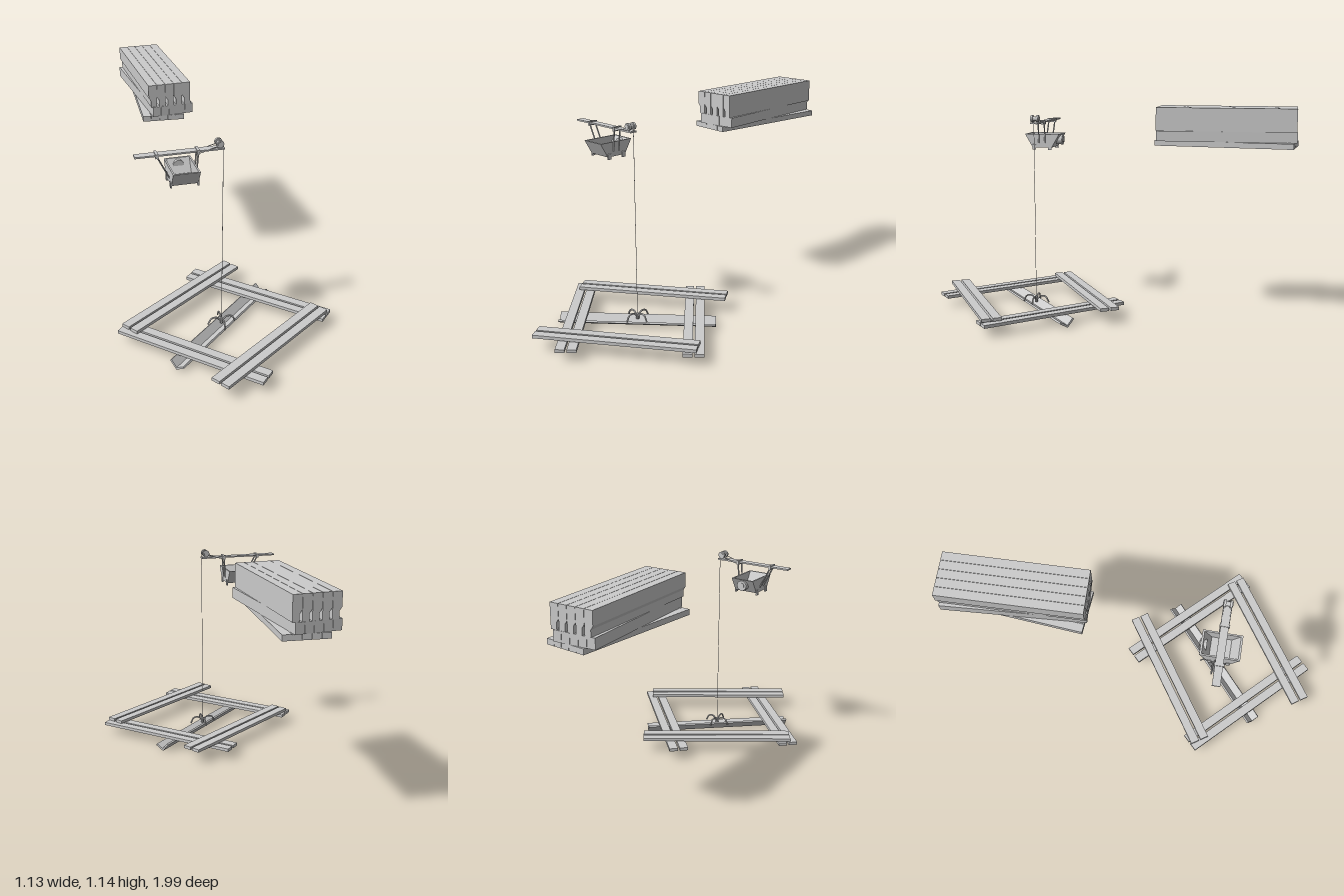
import * as THREE from 'three';

const mat = new THREE.MeshStandardMaterial({ color: 0xcccccc, flatShading: true });
const smooth = new THREE.MeshStandardMaterial({ color: 0xcccccc });
const V = (x, y, z) => new THREE.Vector3(x, y, z);

function add(parent, name, geometry, x = 0, y = 0, z = 0, ry = 0, material = mat) {
  const mesh = new THREE.Mesh(geometry, material);
  mesh.name = name;
  mesh.position.set(x, y, z);
  mesh.rotation.y = ry;
  parent.add(mesh);
  return mesh;
}

function group(parent, name) {
  const g = new THREE.Group();
  g.name = name;
  parent.add(g);
  return g;
}

// Closed outline extruded along z and centred on it
function prism(points, depth) {
  const shape = new THREE.Shape(points.map(([x, y]) => new THREE.Vector2(x, y)));
  return new THREE.ExtrudeGeometry(shape, { depth, bevelEnabled: false }).translate(0, 0, -depth / 2);
}

// Straight round bar between two points
function bar(parent, name, a, b, r, sides = 6) {
  const d = b.clone().sub(a);
  const m = add(parent, name, new THREE.CylinderGeometry(r, r, d.length(), sides));
  m.position.copy(a).addScaledVector(d, 0.5);
  m.quaternion.setFromUnitVectors(V(0, 1, 0), d.normalize());
}

export function createModel() {
  const model = new THREE.Group();
  model.name = 'plankHoist';

  // Frame of paired planks: two lower pairs crossed by two upper pairs
  const frame = group(model, 'plankFrame');
  for (const s of [1, -1]) {
    for (const [name, x, z, y, angle, length] of [
      ['upperPair', -0.164, -0.27, 0.081, 0.6, 0.828],
      ['lowerPair', 0.233, -0.204, 0.06, -0.785, 0.834],
    ]) {
      const pair = group(frame, name);
      pair.position.set(s * x, y, 0.439 + s * z);
      pair.rotation.y = angle;
      for (const side of [1, -1])
        add(pair, 'framePlank', new THREE.BoxGeometry(length, 0.017, 0.047), 0, 0, side * 0.029);
    }
  }

  // V-shaped trough lying diagonally under the frame
  add(model, 'troughBeam', prism([
    [0, 0], [0.046, 0.026], [0.041, 0.035], [0.002, 0.014], [-0.029, 0.05], [-0.037, 0.044],
  ], 0.832), -0.018, 0, 0.412, -0.843);

  // Hoisting rope and four-armed grapple
  const rx = -0.017, rz = 0.412;
  bar(model, 'hoistRope', V(rx, 0.05, rz), V(rx, 1.065, rz), 0.0014);
  const grapple = group(model, 'grapple');
  grapple.position.set(rx, 0, rz);
  add(grapple, 'grappleHub', new THREE.CylinderGeometry(0.009, 0.009, 0.03, 8), 0, 0.052, 0);
  for (let i = 0; i < 4; i++) {
    const path = new THREE.CatmullRomCurve3([
      V(0.004, 0.05, 0), V(0.025, 0.072, 0), V(0.055, 0.07, 0), V(0.074, 0.038, 0),
    ]);
    add(grapple, 'grappleClaw', new THREE.TubeGeometry(path, 12, 0.0045, 6), 0, 0, 0, i * Math.PI / 2, smooth);
  }

  // Jib board with clamps and pulley
  const jib = group(model, 'jib');
  add(jib, 'jibBoard', new THREE.BoxGeometry(0.435, 0.008, 0.04), -0.2325, 1.045, rz);
  for (const x of [-0.345, -0.145])
    add(jib, 'clamp', new THREE.BoxGeometry(0.013, 0.022, 0.05), x, 1.043, rz);
  const wheel = new THREE.CylinderGeometry(0.019, 0.019, 0.012, 16).rotateX(Math.PI / 2);
  for (const s of [1, -1]) add(jib, 'pulleyFlange', wheel, -0.038, 1.07, rz + s * 0.016);
  add(jib, 'pulleyDrum', new THREE.CylinderGeometry(0.012, 0.012, 0.05, 12).rotateX(Math.PI / 2), -0.038, 1.07, rz);
  for (const s of [1, -1])
    bar(jib, 'pulleyStay', V(-0.145, 1.034, rz + s * 0.02), V(-0.05, 1.06, rz + s * 0.02), 0.002);

  // Open bucket with flared ends
  const bucket = group(model, 'bucket');
  const cx = -0.2205;
  add(bucket, 'bucketShell', prism([
    [-0.1, 0.975], [-0.056, 0.9], [0.056, 0.9], [0.1, 0.975], [0.09, 0.975], [0.05, 0.908], [-0.05, 0.908], [-0.09, 0.975],
  ], 0.13), cx, 0, rz, -Math.PI / 2);
  for (const s of [1, -1]) {
    const x = cx + s * 0.062;
    add(bucket, 'bucketSide', prism([[-0.1, 0.975], [-0.056, 0.9], [0.056, 0.9], [0.1, 0.975]], 0.008), x, 0, rz, -Math.PI / 2);
    for (const t of [1, -1]) {
      add(bucket, 'bucketFoot', new THREE.BoxGeometry(0.007, 0.03, 0.02), cx + s * 0.066, 0.902, rz + t * 0.046);
      // Hangers from the clamps to the bucket sides
      bar(bucket, 'hanger', V(s < 0 ? -0.345 : -0.145, 1.04, rz + t * 0.018),
        V(cx + s * 0.066, 0.925, rz + t * 0.018), 0.004);
    }
  }
  const disc = new THREE.CylinderGeometry(0.028, 0.028, 0.035, 16).rotateX(Math.PI / 2);
  add(bucket, 'roundWeight', disc, cx, 0.942, 0.3245);
  add(bucket, 'weightHub', new THREE.CylinderGeometry(0.016, 0.016, 0.004, 12).rotateX(Math.PI / 2), cx, 0.942, 0.306);

  // Stack of planks, each layer turned against the next
  const stack = group(model, 'plankStack');
  for (const [name, y0, y1, pitch, angle, x, notch] of [
    ['bottomLayer', 0.937, 0.966, 0.045, -0.073, -0.13, 0],
    ['middleLayer', 0.966, 1.02, 0.045, 0.073, -0.13, 0],
    ['topLayer', 1.02, 1.142, 0.0465, 0.035, -0.134, 0.012],
  ]) {
    const layer = group(stack, name);
    layer.position.set(x, 0, -0.628);
    layer.rotation.y = angle;
    for (let i = -2; i <= 2; i++) {
      const w = pitch / 2 - 0.0008;
      const plank = prism(notch
        ? [[-w + notch, y0], [w, y0], [w, y1], [-w, y1], [-w, y0 + 0.052], [-w + notch, y0 + 0.034]]
        : [[-w, y0], [w, y0], [w, y1], [-w, y1]], 0.73);
      add(layer, 'stackedPlank', plank, i * pitch, 0, 0);
    }
  }
  return model;
}
